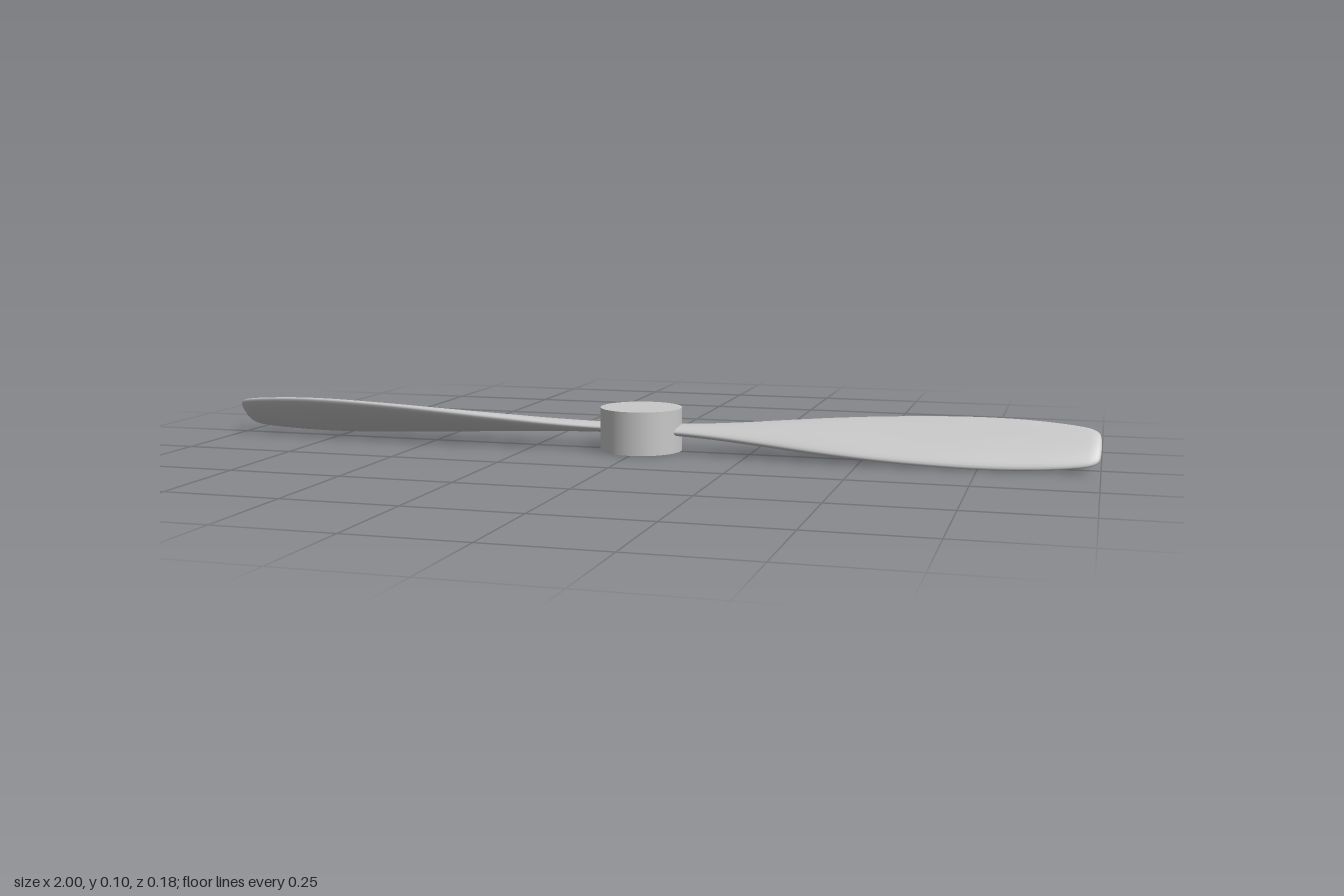
import * as THREE from 'three';

const HEIGHT = 0.097, HUB_RADIUS = 0.092;

// Blade stations: x, half chord, half thickness, pitch in degrees
const STATIONS = [
  [0.03, 0.033, 0.011, 3], [0.1, 0.036, 0.012, 5], [0.2, 0.047, 0.0145, 11],
  [0.3, 0.06, 0.017, 17], [0.4, 0.073, 0.018, 21], [0.5, 0.08, 0.018, 25],
  [0.6, 0.0825, 0.0175, 29], [0.72, 0.081, 0.017, 33.5], [0.82, 0.075, 0.0155, 37],
  [0.9, 0.0665, 0.014, 39], [0.96, 0.056, 0.0125, 41], [0.985, 0.047, 0.011, 42],
  [0.997, 0.033, 0.007, 42], [1.0, 0.001, 0.0005, 42],
];

// Twisted blade lofted from elliptical sections
function bladeGeometry(steps = 78, sides = 32) {
  const spline = (f) => new THREE.CatmullRomCurve3(
    STATIONS.map((s) => new THREE.Vector3(...f(s))), false, 'catmullrom', 0.5);
  const plan = spline(([x, a]) => [x, a, 0]);
  const twist = spline(([, , b, deg]) => [b, THREE.MathUtils.degToRad(deg), 0]);
  const pos = [], index = [];
  for (let i = 0; i <= steps; i++) {
    const { x, y: a } = plan.getPoint(i / steps);
    const { x: b, y: pitch } = twist.getPoint(i / steps);
    const c = Math.cos(pitch), s = Math.sin(pitch);
    for (let j = 0; j < sides; j++) {
      const phi = (j / sides) * Math.PI * 2;
      const u = a * Math.cos(phi), v = b * Math.sin(phi);
      pos.push(Math.min(x, 1), -u * s + v * c, u * c + v * s);
      if (i === steps) continue;
      const k = (j + 1) % sides;
      const p = i * sides + j, q = i * sides + k;
      index.push(p, p + sides, q, q, p + sides, q + sides);
    }
  }
  const geo = new THREE.BufferGeometry();
  geo.setAttribute('position', new THREE.Float32BufferAttribute(pos, 3));
  geo.setIndex(index);
  geo.computeVertexNormals();
  return geo;
}

export function createModel() {
  const model = new THREE.Group();
  model.name = 'propeller';
  const grey = new THREE.MeshStandardMaterial({ color: 0xc8c8c8 });
  grey.name = 'light grey';

  // Central hub
  const hub = new THREE.Mesh(
    new THREE.CylinderGeometry(HUB_RADIUS, HUB_RADIUS, HEIGHT, 64), grey);
  hub.name = 'hub';
  hub.position.y = HEIGHT / 2;
  model.add(hub);

  // Two blades, half a turn apart
  const geo = bladeGeometry();
  ['leftBlade', 'rightBlade'].forEach((name, i) => {
    const blade = new THREE.Mesh(geo, grey);
    blade.name = name;
    blade.position.y = HEIGHT / 2;
    blade.rotation.y = i * Math.PI;
    model.add(blade);
  });
  return model;
}
